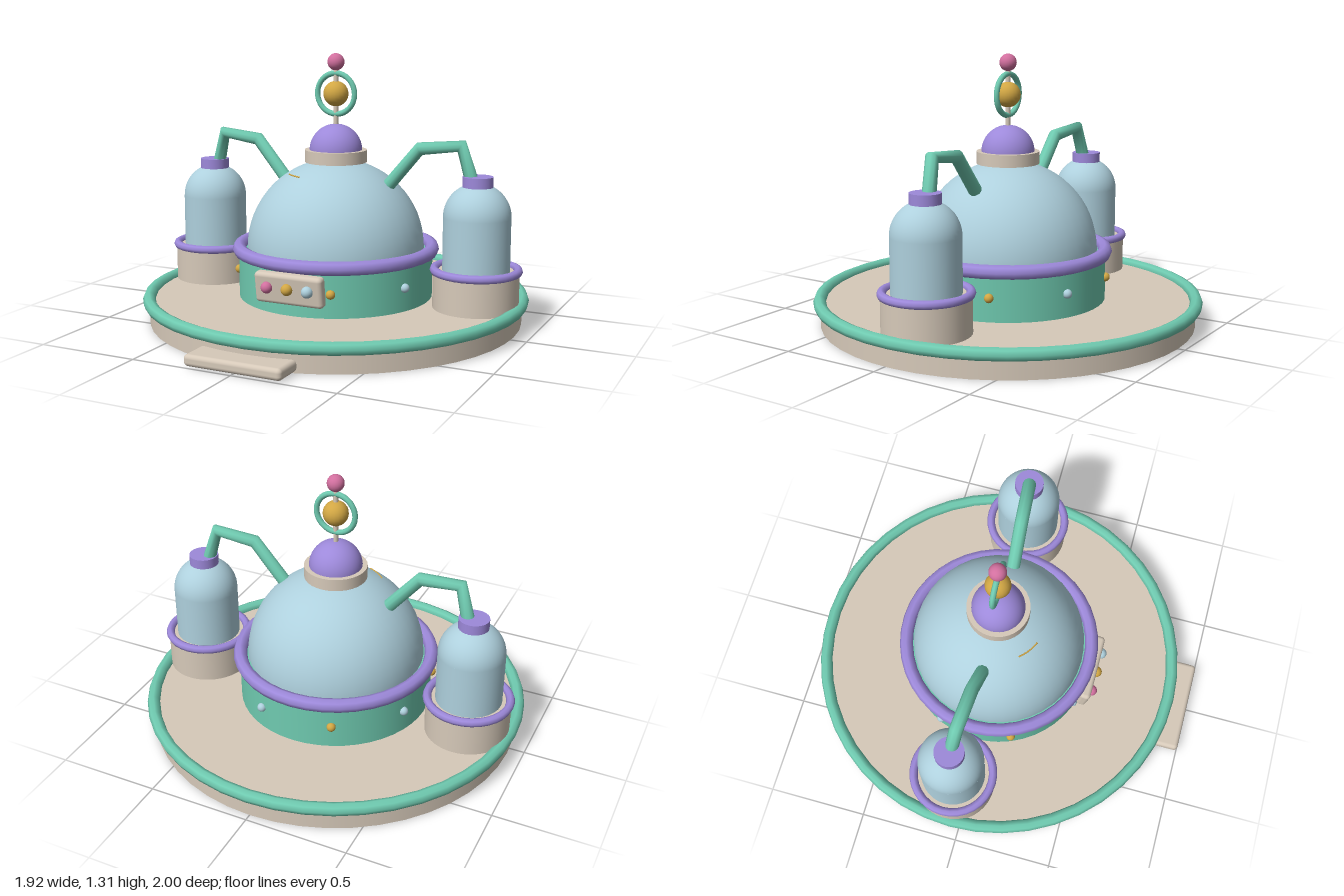
import * as THREE from 'three';
import { RoundedBoxGeometry } from 'three/addons/geometries/RoundedBoxGeometry.js';

const mat = (name, color) => {
  const m = new THREE.MeshStandardMaterial({ color });
  m.name = name;
  return m;
};

export function createModel() {
  const beige = mat('beige', 0xd6c9b9);
  const blue = mat('pale blue', 0xaed0dd);
  const mint = mat('mint', 0x6fcab0);
  const purple = mat('purple', 0x9d89da);
  const pink = mat('pink', 0xd2709f);
  const gold = mat('gold', 0xd2a744);

  const model = new THREE.Group();
  model.name = 'domeStation';
  const hub = new THREE.Group(); // everything centred on the main axis
  hub.name = 'hub';
  hub.position.z = -0.04;
  model.add(hub);

  const add = (parent, name, geometry, material, x = 0, y = 0, z = 0) => {
    const mesh = new THREE.Mesh(geometry, material);
    mesh.name = name;
    mesh.position.set(x, y, z);
    parent.add(mesh);
    return mesh;
  };
  // Upright cylinder between two heights
  const drum = (parent, name, material, r, y0, y1, seg = 40) =>
    add(parent, name, new THREE.CylinderGeometry(r, r, y1 - y0, seg), material, 0, (y0 + y1) / 2);
  // Horizontal ring
  const hoop = (parent, name, material, r, tube, y, seg = 40) =>
    add(parent, name, new THREE.TorusGeometry(r, tube, 8, seg).rotateX(Math.PI / 2), material, 0, y);
  const ball = (parent, name, material, r, x, y, z) =>
    add(parent, name, new THREE.SphereGeometry(r, 20, 14), material, x, y, z);
  const hemisphere = (parent, name, material, r, y) =>
    add(parent, name, new THREE.SphereGeometry(r, 40, 16, 0, Math.PI * 2, 0, Math.PI / 2), material, 0, y);

  // Base plate, rim and entry step
  drum(hub, 'basePlate', beige, 0.925, 0, 0.115, 48);
  hoop(hub, 'baseRim', mint, 0.928, 0.031, 0.115, 44);
  add(model, 'step', new RoundedBoxGeometry(0.48, 0.055, 0.16, 3, 0.02), beige, 0, 0.0325, 0.92);

  // Main drum with dome
  drum(hub, 'mainDrum', mint, 0.482, 0.1, 0.352, 48);
  hoop(hub, 'domeRing', purple, 0.48, 0.034, 0.352);
  hemisphere(hub, 'dome', blue, 0.44, 0.353);
  drum(hub, 'collar', beige, 0.154, 0.78, 0.84, 32);
  hemisphere(hub, 'domeCap', purple, 0.13, 0.837);

  // Fine gold arc lying on the dome
  const trim = new THREE.TorusGeometry(0.235, 0.004, 6, 12, 0.5).rotateX(Math.PI / 2).rotateY(-1.95);
  add(hub, 'domeTrim', trim, gold, 0, 0.725, 0);

  // Antenna
  drum(hub, 'mast', beige, 0.012, 0.95, 1.25, 12);
  ball(hub, 'antennaCore', gold, 0.062, 0, 1.115, 0);
  add(hub, 'antennaRing', new THREE.TorusGeometry(0.1, 0.014, 8, 32), mint, 0, 1.115, 0);
  ball(hub, 'antennaTip', pink, 0.042, 0, 1.27, 0);

  // Studs around the drum, alternating in colour
  for (let i = 0; i < 8; i++) {
    const a = (i + 0.5) * Math.PI / 4;
    ball(hub, 'drumStud', i % 2 ? blue : gold, 0.022, Math.sin(a) * 0.485, 0.23, Math.cos(a) * 0.485);
  }

  // Control panel, leaning slightly forward at the top
  const panel = new THREE.Group();
  panel.name = 'controlPanel';
  panel.position.set(0, 0.248, 0.455);
  panel.rotation.x = 0.14;
  model.add(panel);
  add(panel, 'panelBox', new RoundedBoxGeometry(0.35, 0.15, 0.055, 3, 0.02), beige);
  [pink, gold, blue].forEach((m, i) => ball(panel, 'button', m, 0.028, (i - 1) * 0.105, 0.008, 0.032));

  for (const side of [-1, 1]) {
    // Side tank on its pedestal
    const tank = new THREE.Group();
    tank.name = side > 0 ? 'leftTank' : 'rightTank';
    tank.position.set(side * 0.722, 0, -0.078);
    model.add(tank);
    drum(tank, 'pedestal', beige, 0.206, 0.1, 0.297);
    hoop(tank, 'pedestalRing', purple, 0.2, 0.021, 0.298, 32);
    drum(tank, 'tankBody', blue, 0.161, 0.29, 0.555, 32);
    hemisphere(tank, 'tankTop', blue, 0.161, 0.555);
    drum(tank, 'tankCap', purple, 0.073, 0.69, 0.748, 24);

    // Bent pipe from tank to dome, one straight section between each pair of points
    const pts = [[0.697, 0.71, -0.077], [0.645, 0.89, -0.06], [0.44, 0.868, -0.046], [0.26, 0.655, -0.042]]
      .map(([x, y, z]) => new THREE.Vector3(side * x, y, z));
    const path = new THREE.CatmullRomCurve3(pts);
    const dir = i => pts[i + 1].clone().sub(pts[i]).normalize();
    path.getPointAt = u => pts[Math.round(u * 3)].clone();
    path.getTangentAt = u => {
      const i = Math.round(u * 3);
      return dir(Math.max(i - 1, 0)).add(dir(Math.min(i, 2))).normalize();
    };
    const pipe = new THREE.TubeGeometry(path, 3, 0.033, 10, false);
    add(model, side > 0 ? 'leftPipe' : 'rightPipe', pipe, mint);
  }
  return model;
}
